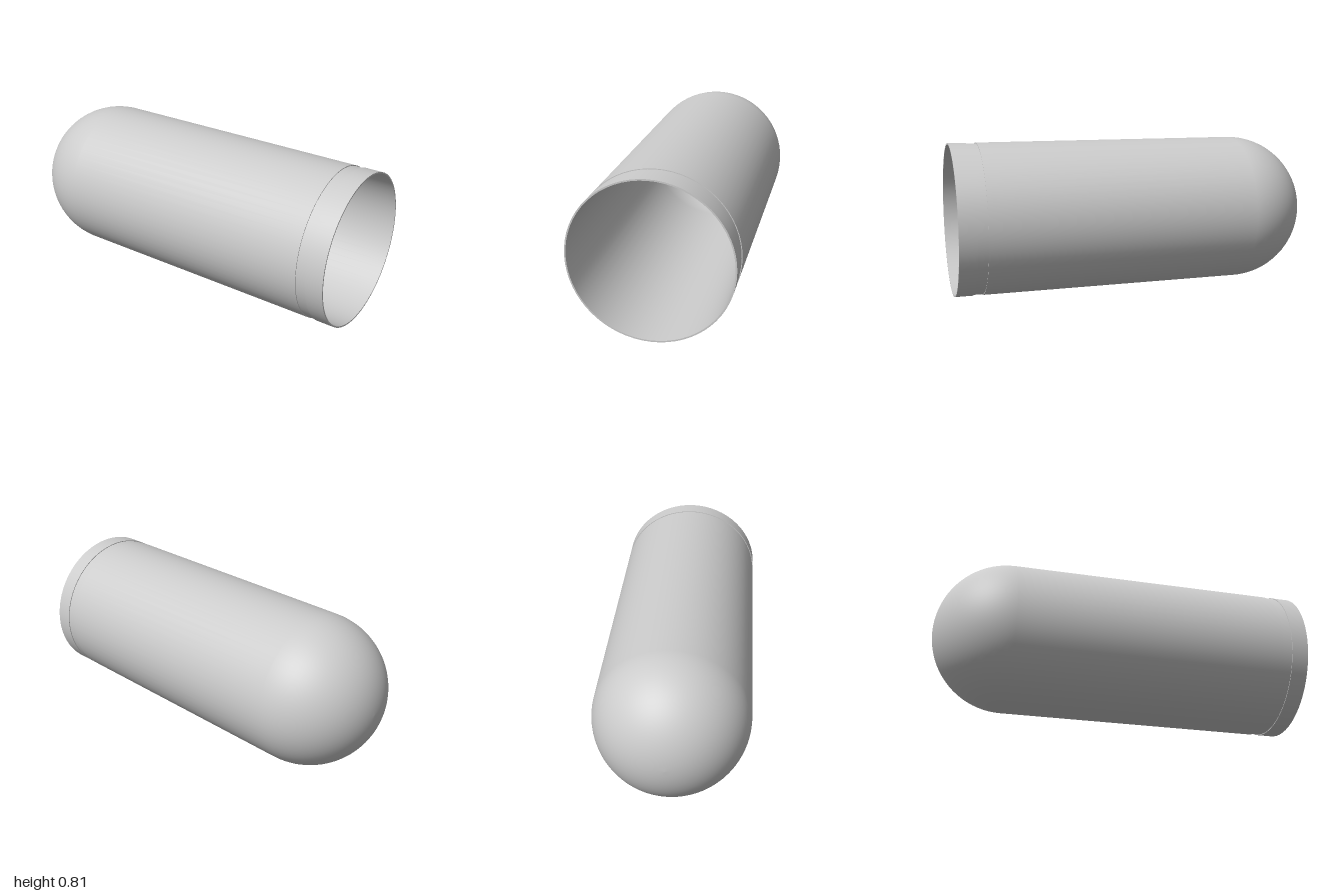
import * as THREE from 'three';

const R = 0.405;          // outer radius
const WALL = 0.0075;      // wall thickness
const GROOVE = 0.004;     // groove depth
const DOME_Z = -1 + R;    // centre of the rounded end
const SIDES = 64;

// quarter-circle profile from the pole (on the axis) to the straight wall
function domeProfile(radius, steps = 20) {
  return Array.from({ length: steps + 1 }, (_, i) => {
    const a = (i / steps) * Math.PI / 2;
    return [radius * Math.sin(a), DOME_Z - radius * Math.cos(a)];
  });
}

export function createModel() {
  const group = new THREE.Group();
  group.name = 'capsuleShell';
  const material = new THREE.MeshStandardMaterial({ color: 0xcccccc });

  // each smooth band is its own lathe, so the edges between bands stay sharp
  const addBand = (name, profile) => {
    const points = profile.map(([r, z]) => new THREE.Vector2(r, z));
    const geometry = new THREE.LatheGeometry(points, SIDES);
    geometry.rotateX(Math.PI / 2);
    geometry.translate(0, R, 0);
    const mesh = new THREE.Mesh(geometry, material);
    mesh.name = name;
    group.add(mesh);
  };

  const inner = R - WALL;
  const floor = R - GROOVE;
  const g0 = 0.855, g1 = 0.908;

  // outside: rounded end and long body
  addBand('outerBody', [...domeProfile(R), [R, g0]]);

  // shallow groove behind the mouth
  addBand('grooveBackWall', [[R, g0], [floor, g0]]);
  addBand('grooveFloor', [[floor, g0], [floor, g1]]);
  addBand('grooveFrontWall', [[floor, g1], [R, g1]]);

  // collar and flat rim at the open end
  addBand('mouthCollar', [[R, g1], [R, 1]]);
  addBand('mouthRim', [[R, 1], [inner, 1]]);

  // hollow inside, running back to the rounded end
  addBand('innerWall', [[inner, 1], ...domeProfile(inner).reverse()]);

  return group;
}
